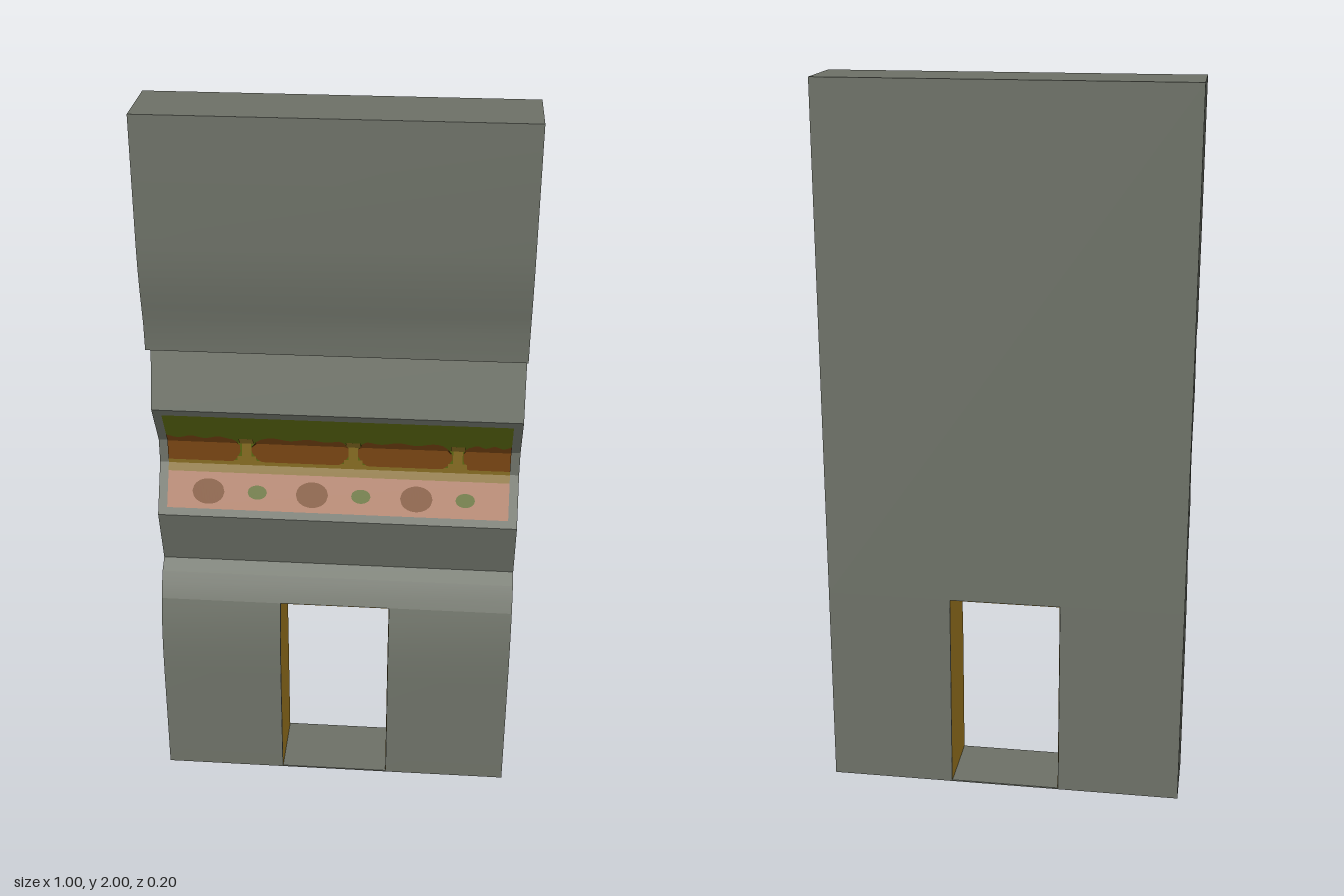
import * as THREE from 'three';
import { toCreasedNormals } from 'three/addons/utils/BufferGeometryUtils.js';

const BACK = -0.1, HALF = 0.5;
const DOOR = { x0: -0.157, x1: 0.153, y: 0.575 };

// Front contour of the wall as [y, z]
const lower = [[0, 0.1], [0.34, 0.1], [0.41, 0.098], [0.47, 0.093], [0.53, 0.083], [DOOR.y, 0.071]];
const upper = [[DOOR.y, 0.071], [0.61, 0.055], [0.645, 0.035], [0.67, 0], [0.84, 0.045], [0.97, -0.028],
  [1.04, -0.028], [1.17, 0.045], [1.335, 0], [1.36, 0.07], [1.44, 0.073], [1.49, 0.082], [1.54, 0.09],
  [1.6, 0.097], [1.66, 0.1], [2, 0.1]];
const BENDS = [0.97, 1.04];

function profileShape(points) {
  const s = new THREE.Shape();
  s.moveTo(BACK, points[0][0]);
  points.forEach(([y, z]) => s.lineTo(z, y));
  s.lineTo(BACK, points[points.length - 1][0]);
  s.closePath();
  return s;
}

function wallBlock(points, x0, x1) {
  const g = new THREE.ExtrudeGeometry(profileShape(points), { depth: x1 - x0, bevelEnabled: false });
  g.rotateY(-Math.PI / 2).translate(x1, 0, 0);
  return toCreasedNormals(g, 0.32);
}

function surfaceZ(y) {
  for (let i = 1; i < upper.length; i++) {
    const [ya, za] = upper[i - 1], [yb, zb] = upper[i];
    if (y <= yb) return za + (zb - za) * (y - ya) / (yb - ya);
  }
  return 0.1;
}

// Painted patch between two height functions, folded along the bay's bends
function patch(x0, x1, columns, lo, hi, lift) {
  const pos = [], idx = [], rows = 4;
  for (let i = 0; i <= columns; i++) {
    const t = i / columns, x = x0 + (x1 - x0) * t, a = lo(t), b = hi(t);
    const ys = [a, ...BENDS.map(k => Math.min(Math.max(k, a), b)), b];
    ys.forEach(y => pos.push(x, y, surfaceZ(y) + lift));
    if (i === columns) break;
    for (let r = 0; r < rows - 1; r++) {
      const p = i * rows + r, q = p + rows;
      idx.push(p, q, q + 1, p, q + 1, p + 1);
    }
  }
  const g = new THREE.BufferGeometry();
  g.setAttribute('position', new THREE.Float32BufferAttribute(pos, 3));
  g.setIndex(idx);
  const flat = g.toNonIndexed();
  flat.computeVertexNormals();
  return flat;
}

export function createModel() {
  const group = new THREE.Group();
  const mat = (name, color, side = THREE.FrontSide) => {
    const m = new THREE.MeshStandardMaterial({ color, side });
    m.name = name;
    return m;
  };
  const stone = mat('grey stone', 0x6e7268);
  const gold = mat('gold', 0xc4962a, THREE.DoubleSide);
  const green = mat('leaf green', 0x5a6710);
  const brown = mat('earth brown', 0x784512);
  const olive = mat('olive', 0x866c22);
  const pink = mat('clay pink', 0xaa785e);
  const add = (name, geometry, material) => {
    const mesh = new THREE.Mesh(geometry, material);
    mesh.name = name;
    group.add(mesh);
    return mesh;
  };

  // Wall around the doorway
  add('upperWall', wallBlock(upper, -HALF, HALF), stone);
  add('rightPier', wallBlock(lower, -HALF, DOOR.x0), stone);
  add('leftPier', wallBlock(lower, DOOR.x1, HALF), stone);
  const width = DOOR.x1 - DOOR.x0, mid = (DOOR.x0 + DOOR.x1) / 2;
  add('doorSill', new THREE.BoxGeometry(width, 0.004, 0.2), stone).position.set(mid, 0.002, 0);

  // Gold lining of the doorway
  for (const [name, x] of [['rightJamb', DOOR.x0 + 0.001], ['leftJamb', DOOR.x1 - 0.001]]) {
    const g = new THREE.ShapeGeometry(profileShape(lower));
    add(name, g.rotateY(-Math.PI / 2).translate(x, 0, 0), gold);
  }
  const head = new THREE.PlaneGeometry(width, 0.171).rotateX(Math.PI / 2);
  add('doorHead', head, gold).position.set(mid, DOOR.y - 0.001, -0.0145);

  // Colour bands of the folded mural
  const W = 0.475;
  const band = (name, y0, y1, m) => add(name, patch(-W, W, 1, () => y0, () => y1, 0.002), m);
  band('clayBand', 0.86, 0.95, pink);
  band('oliveBand', 0.95, 0.985, olive);
  band('greenBand', 0.985, 1.15, green);

  // Bushy brown clumps with uneven tops
  const clumps = [[-0.475, -0.272, 1, 0], [-0.24, 0.03, 1, 1], [0.055, 0.315, 1, 1], [0.345, 0.475, 0, 1]];
  for (const [x0, x1, roundRight, roundLeft] of clumps) {
    const edge = t => Math.max(roundLeft ? 1 - t / 0.12 : 0, roundRight ? 1 - (1 - t) / 0.12 : 0, 0);
    const top = t => 1.062 + 0.005 * Math.sin(t * 17 + x0 * 9) - 0.03 * edge(t) ** 2;
    const bottom = t => 0.982 + 0.03 * edge(t) ** 2;
    add('brownClump', patch(x0, x1, 20, bottom, top, 0.004), brown);
  }

  // Olive stems in the gaps, flared at both ends
  for (const x of [-0.254, 0.042, 0.33]) {
    for (const [y0, y1, w] of [[0.98, 1.0, 0.026], [1.0, 1.04, 0.013], [1.04, 1.06, 0.02]]) {
      add('stem', patch(x - w, x + w, 1, () => y0, () => y1, 0.005), olive);
    }
  }

  // Alternating spots along the clay band
  const spot = (name, x, y, rx, ry, m) => {
    const h = t => ry * Math.sin(Math.acos(Math.max(-1, Math.min(1, 2 * t - 1))));
    add(name, patch(x - rx, x + rx, 20, t => y - h(t), t => y + h(t), 0.004), m);
  };
  for (let i = 0; i < 3; i++) {
    spot('brownSpot', -0.36 + i * 0.29, 0.904, 0.045, 0.031, brown);
    spot('greenSpot', -0.223 + i * 0.289, 0.905, 0.027, 0.017, green);
  }
  return group;
}
